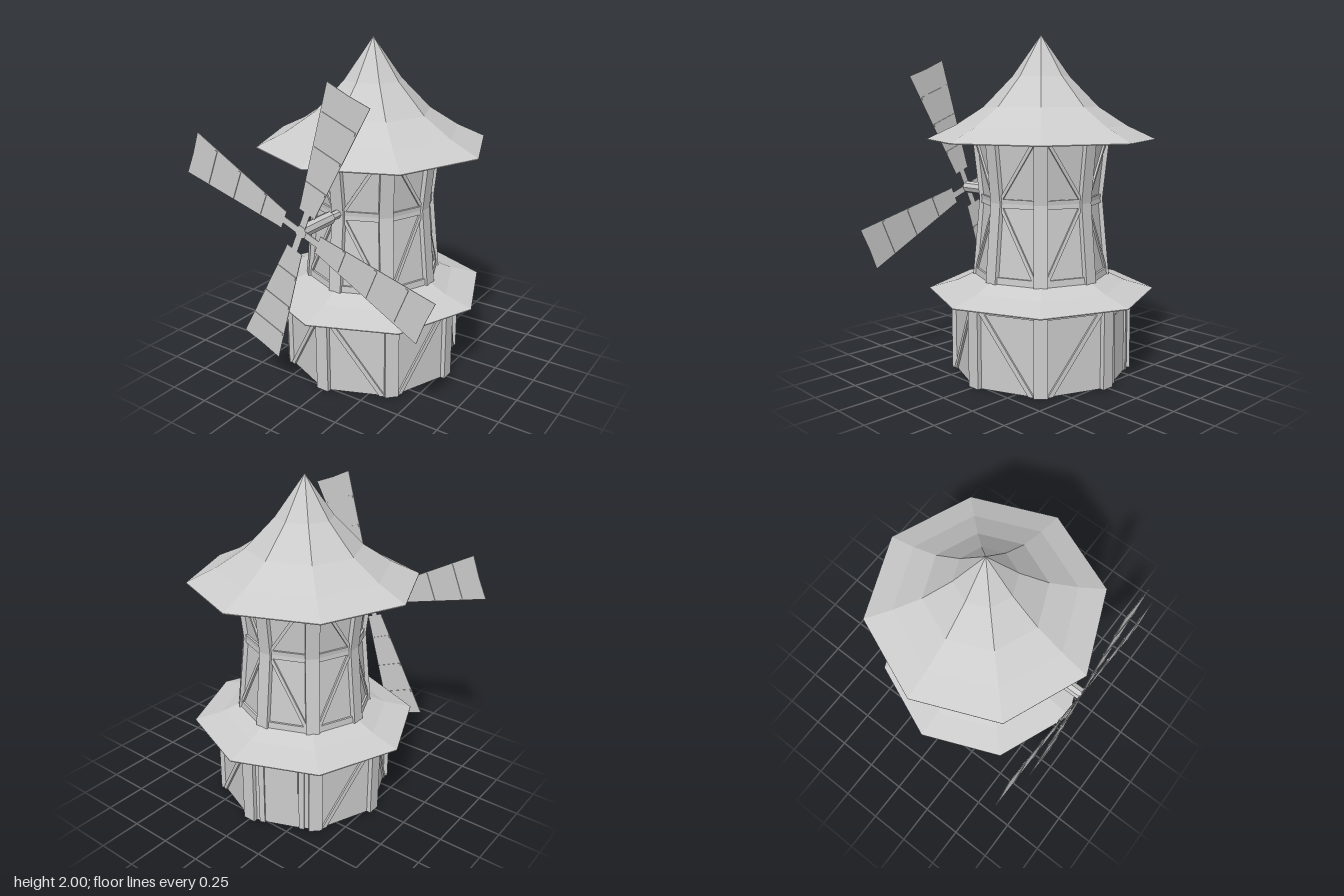
import * as THREE from 'three';

const mat = new THREE.MeshStandardMaterial({ color: 0xcccccc, flatShading: true });
const thin = new THREE.MeshStandardMaterial({ color: 0xcccccc, flatShading: true, side: THREE.DoubleSide });
const lerp = THREE.MathUtils.lerp;
const STEP = Math.PI / 4;

function add(parent, name, geo, material = mat) {
  const m = new THREE.Mesh(geo, material);
  m.name = name;
  parent.add(m);
  return m;
}

// Box whose corners are moved by a rule f(x, y, z), each input 0..1
function warpBox(f) {
  const g = new THREE.BoxGeometry(1, 1, 1);
  const p = g.attributes.position;
  for (let i = 0; i < p.count; i++) {
    const v = f(p.getX(i) + 0.5, p.getY(i) + 0.5, p.getZ(i) + 0.5);
    p.setXYZ(i, v.x, v.y, v.z);
  }
  g.computeVertexNormals();
  return g;
}

// Point on wall facet k of a storey: s across, t up, out along the facet normal
function facetPoint(st, k, s, t, out) {
  const r = lerp(st.r0, st.r1, t), a = k * STEP, b = a + STEP, m = a + STEP / 2;
  return new THREE.Vector3(
    lerp(Math.sin(a), Math.sin(b), s) * r + Math.sin(m) * out,
    lerp(st.y0, st.y1, t),
    lerp(Math.cos(a), Math.cos(b), s) * r + Math.cos(m) * out);
}

// Beam lying on a facet from (s0, t0) up to (s1, t1), w wide in s
function beam(parent, name, st, k, s0, t0, s1, t1, w, depth) {
  return add(parent, name, warpBox((x, y, z) =>
    facetPoint(st, k, lerp(s0, s1, y) + (x - 0.5) * w, lerp(t0, t1, y), lerp(-0.01, depth, z))));
}

// Flat-faced post over corner k
function post(parent, st, k) {
  const a = k * STEP;
  add(parent, 'cornerPost', warpBox((x, y, z) => {
    const r = lerp(st.r0, st.r1, y) + lerp(-0.06, 0.01, z), u = (x - 0.5) * 0.08;
    return new THREE.Vector3(
      Math.sin(a) * r + Math.cos(a) * u, lerp(st.y0, st.y1, y), Math.cos(a) * r - Math.sin(a) * u);
  }));
}

// One octagonal timber-framed storey; diagonals mirror from facet to facet
function storey(name, st) {
  const g = new THREE.Group();
  g.name = name;
  const h = st.y1 - st.y0;
  const wall = new THREE.CylinderGeometry(st.r1, st.r0, h, 8);
  add(g, 'wall', wall).position.y = (st.y0 + st.y1) / 2;
  const bot = st.bottom / h, top = 1 - st.top / h;
  for (let k = 0; k < 8; k++) {
    post(g, st, k);
    if (bot > 0) beam(g, 'bottomBeam', st, k, 0.5, 0, 0.5, bot, 0.96, 0.012);
    if (top < 1) beam(g, 'topBeam', st, k, 0.5, top, 0.5, 1, 0.96, 0.012);
    if (k === st.doorFacet) {
      beam(g, 'doorJamb', st, k, 0.2, 0, 0.2, top, 0.08, 0.014);
      beam(g, 'doorJamb', st, k, 0.8, 0, 0.8, top, 0.08, 0.014);
      beam(g, 'doorHead', st, k, 0.5, top - 0.06, 0.5, top, 0.6, 0.014);
      beam(g, 'door', st, k, 0.5, 0, 0.5, top - 0.09, 0.48, 0.005);
      continue;
    }
    const flip = (k % 2 === 1) !== st.mirrored;
    const near = 0.13, far = 0.87;
    beam(g, 'diagonalBrace', st, k, flip ? near : far, bot, flip ? far : near, top, 0.08, 0.012);
  }
  return g;
}

// Thin sail blade pointing along +y, with spar, edge rails and slats
function sail() {
  const g = new THREE.Group();
  g.name = 'sail';
  const r0 = 0.14, r1 = 0.83, w0 = 0.055, w1 = 0.135;
  const half = (r) => lerp(w0, w1, (r - r0) / (r1 - r0));
  const s = new THREE.Shape([
    [-0.02, 0], [0.02, 0], [0.02, 0.12], [w0, r0 - 0.02], [w0, r0], [w1, r1],
    [0, r1 - 0.005], [-w1, r1], [-w0, r0], [-w0, r0 - 0.02], [-0.02, 0.12],
  ].map(([x, y]) => new THREE.Vector2(x, y)));
  add(g, 'blade', new THREE.ExtrudeGeometry(s, { depth: 0.004, bevelEnabled: false }), thin)
    .position.z = -0.002;
  for (const r of [0.28, 0.48, 0.67]) {
    add(g, 'slat', new THREE.BoxGeometry(half(r) * 1.85, 0.018, 0.012)).position.y = r;
  }
  return g;
}

export function createModel() {
  const model = new THREE.Group();
  model.name = 'windmill';
  const tower = new THREE.Group();
  tower.name = 'tower';
  tower.position.z = -0.008;
  model.add(tower);

  // Storeys
  tower.add(storey('groundStorey',
    { y0: 0, y1: 0.49, r0: 0.532, r1: 0.532, bottom: 0, top: 0.05, mirrored: false, doorFacet: 4 }));
  tower.add(storey('middleStorey',
    { y0: 0.585, y1: 1.045, r0: 0.398, r1: 0.355, bottom: 0.04, top: 0.025, mirrored: false }));
  tower.add(storey('upperStorey',
    { y0: 1.045, y1: 1.395, r0: 0.355, r1: 0.392, bottom: 0.025, top: 0, mirrored: true }));

  // Flared roofs
  const lathe = (pts) => new THREE.LatheGeometry(pts.map(([x, y]) => new THREE.Vector2(x, y)), 8);
  add(tower, 'skirtRoof', lathe([[0, 0.487], [0.68, 0.487], [0.68, 0.492], [0.51, 0.54], [0.40, 0.592], [0, 0.592]]));
  add(tower, 'topRoof', lathe([
    [0, 1.39], [0.68, 1.39], [0.68, 1.395], [0.51, 1.475], [0.34, 1.585], [0.17, 1.76], [0, 2]]));

  // Axle
  const axle = (name, r, z0, z1) => {
    const m = add(model, name, new THREE.CylinderGeometry(r, r, z1 - z0, 8));
    m.rotation.x = Math.PI / 2;
    m.position.set(0, 1.052, (z0 + z1) / 2);
  };
  axle('axleNeck', 0.026, 0.3, 0.43);
  axle('axle', 0.038, 0.43, 0.69);

  // Sails
  const sails = new THREE.Group();
  sails.name = 'sails';
  sails.position.set(0, 1.052, 0.686);
  for (let i = 0; i < 4; i++) {
    const b = sail();
    b.rotation.z = -Math.PI / 8 - i * Math.PI / 2;
    sails.add(b);
  }
  model.add(sails);
  return model;
}
